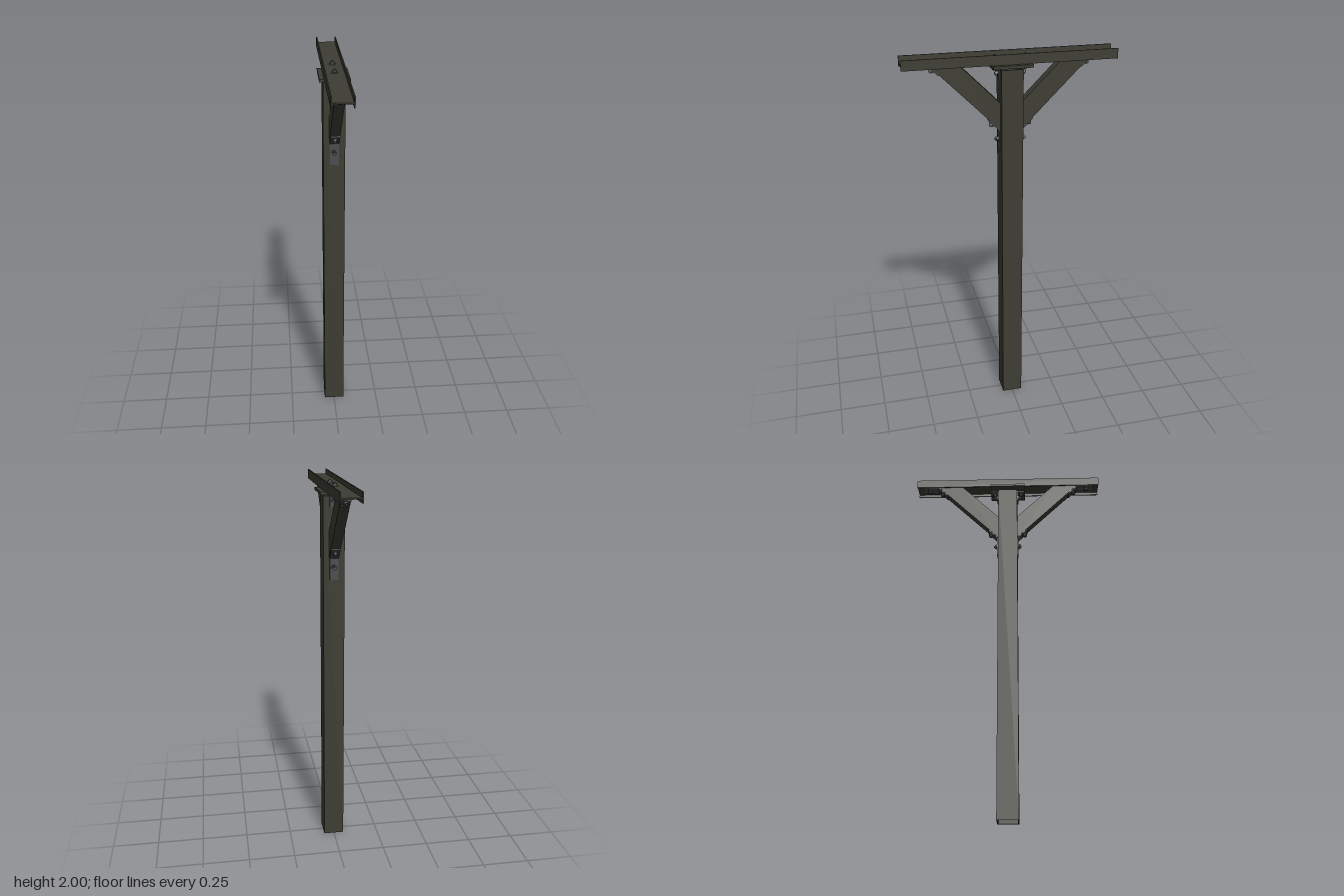
import * as THREE from 'three';

const paint = new THREE.MeshStandardMaterial({ color: 0x3d3d34 });
paint.name = 'dark olive paint';
const steel = new THREE.MeshStandardMaterial({ color: 0x4b4d4e });
steel.name = 'grey steel';

function add(parent, name, geometry, material, x = 0, y = 0, z = 0) {
  const mesh = new THREE.Mesh(geometry, material);
  mesh.name = name;
  mesh.position.set(x, y, z);
  parent.add(mesh);
  return mesh;
}

// Extrudes a side outline of [z, y] points across x, centred on x = 0
function sidePrism(points, width) {
  const shape = new THREE.Shape(points.map(([z, y]) => new THREE.Vector2(z, y)));
  const geometry = new THREE.ExtrudeGeometry(shape, { depth: width, bevelEnabled: false });
  return geometry.translate(0, 0, -width / 2).rotateY(-Math.PI / 2);
}

// Washer, hexagonal nut and stud, pointing along the direction (dy, dz)
function addBolt(parent, name, y, z, dy, dz) {
  const bolt = new THREE.Group();
  bolt.name = name;
  add(bolt, 'washer', new THREE.CylinderGeometry(0.016, 0.016, 0.004, 20), steel, 0, 0.002, 0);
  add(bolt, 'nut', new THREE.CylinderGeometry(0.012, 0.012, 0.01, 6).toNonIndexed(), steel, 0, 0.008, 0);
  add(bolt, 'stud', new THREE.CylinderGeometry(0.006, 0.006, 0.006, 12), steel, 0, 0.015, 0);
  bolt.position.set(0, y, z);
  bolt.quaternion.setFromUnitVectors(new THREE.Vector3(0, 1, 0), new THREE.Vector3(0, dy, dz).normalize());
  parent.add(bolt);
}

// Diagonal brace with its brackets and bolts, for the +z side
function makeBraceSide() {
  const side = new THREE.Group();
  add(side, 'brace', sidePrism([[0.055, 1.615], [0.41, 1.97], [0.27, 1.97], [0.055, 1.755]], 0.05), paint);

  // Bent plates joining the brace to the post and to the beam
  add(side, 'lowerBracket', sidePrism([
    [0.055, 1.5], [0.061, 1.5], [0.061, 1.613], [0.114, 1.666], [0.11, 1.67], [0.055, 1.615],
  ], 0.045), steel);
  add(side, 'upperBracket', sidePrism([
    [0.354, 1.914], [0.358, 1.91], [0.412, 1.964], [0.5, 1.964], [0.5, 1.971], [0.41, 1.971],
  ], 0.045), steel);
  addBolt(side, 'postBolt', 1.565, 0.061, 0, 1);
  addBolt(side, 'lowerBraceBolt', 1.645, 0.093, -1, 1);
  addBolt(side, 'upperBraceBolt', 1.936, 0.384, -1, 1);
  addBolt(side, 'beamBolt', 1.964, 0.465, -1, 0);

  // Angle cleat between the post head and the cap plate
  add(side, 'headCleat', sidePrism([
    [0.055, 1.87], [0.061, 1.87], [0.061, 1.93], [0.1, 1.93], [0.1, 1.936], [0.055, 1.936],
  ], 0.045), steel);
  addBolt(side, 'cleatBolt', 1.9, 0.061, 0, 1);
  addBolt(side, 'capLowerBolt', 1.93, 0.077, -1, 0);
  addBolt(side, 'capUpperBolt', 1.974, 0.077, 1, 0);
  return side;
}

export function createModel() {
  const model = new THREE.Group();
  model.name = 'bracedPost';

  // Hollow square post
  const square = (Path, h) => new Path([[-h, -h], [h, -h], [h, h], [-h, h]].map(([x, y]) => new THREE.Vector2(x, y)));
  const section = square(THREE.Shape, 0.055);
  section.holes.push(square(THREE.Path, 0.049));
  const tube = new THREE.ExtrudeGeometry(section, { depth: 1.925, bevelEnabled: false }).rotateX(-Math.PI / 2);
  add(model, 'post', tube, paint);

  // Cap plate and H-section beam
  add(model, 'capPlate', new THREE.BoxGeometry(0.15, 0.014, 0.2), paint, 0, 1.943, 0);
  add(model, 'capPacker', new THREE.BoxGeometry(0.06, 0.018, 0.19), paint, 0, 1.958, 0);
  add(model, 'beamWeb', new THREE.BoxGeometry(0.1, 0.007, 1.07), paint, 0, 1.9705, 0);
  for (const s of [-1, 1]) {
    add(model, s > 0 ? 'leftFlange' : 'rightFlange', new THREE.BoxGeometry(0.006, 0.05, 1.07), paint, s * 0.05, 1.975, 0);
  }

  // Matching braces in front and behind
  const front = makeBraceSide();
  front.name = 'frontBrace';
  const back = makeBraceSide();
  back.name = 'backBrace';
  back.rotation.y = Math.PI;
  model.add(front, back);
  return model;
}
